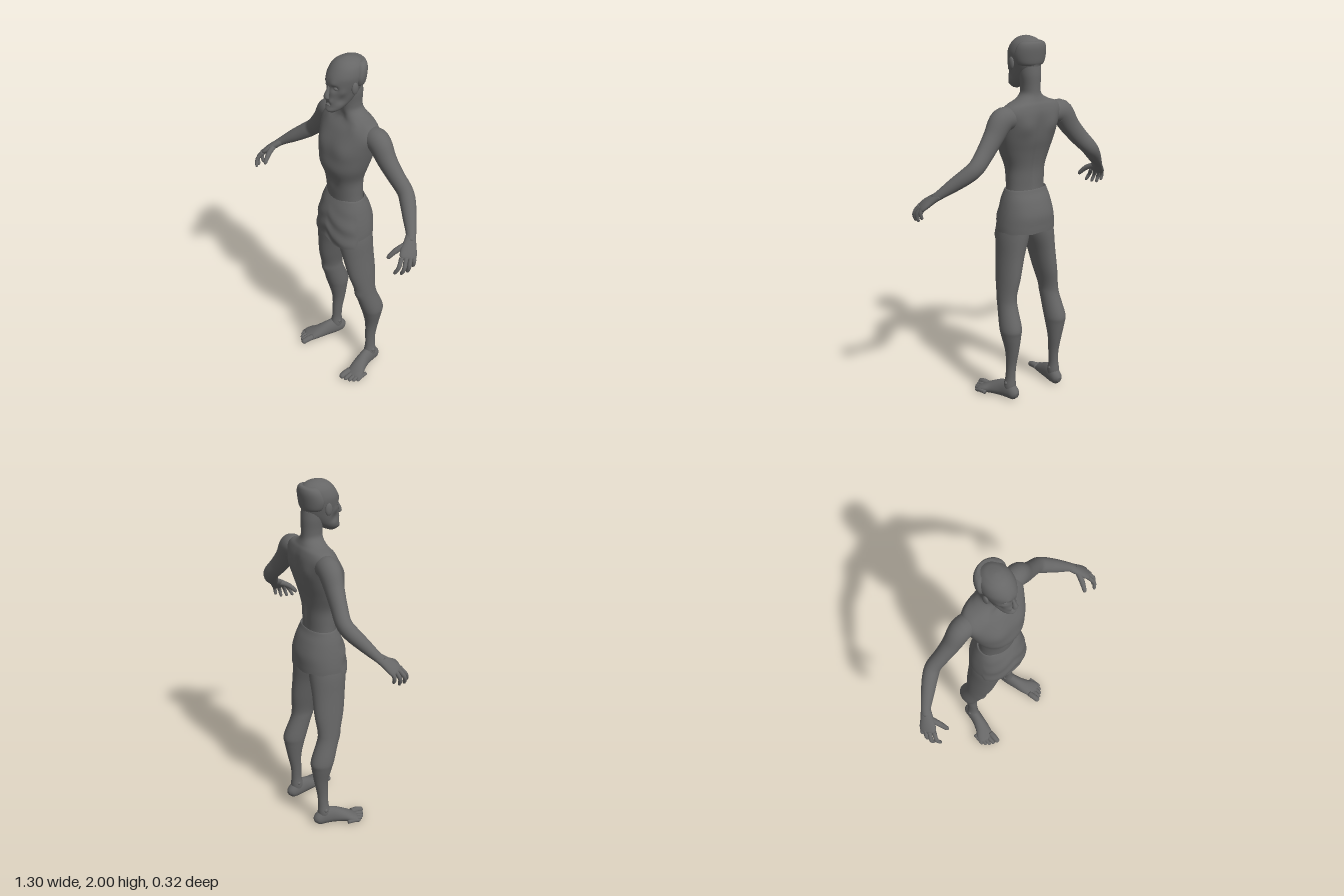
import * as THREE from 'three';

const clay = new THREE.MeshStandardMaterial({ color: 0x666666, side: THREE.DoubleSide });
clay.name = 'grey clay';

const V = (x, y, z) => new THREE.Vector3(x, y, z);
const catmull = (a, b, c, d, t) => {
  const m0 = (c - a) / 2, m1 = (d - b) / 2;
  return b + m0 * t + (3 * (c - b) - 2 * m0 - m1) * t * t + (2 * (b - c) + m0 + m1) * t * t * t;
};
const near = (p, x, y, z, r) => Math.exp(-((p.x - x) ** 2 + (p.y - y) ** 2 + (p.z - z) ** 2) / (r * r));

// Smooth skin over rows of [x, y, z, side radius, front radius, back radius].
// Without "side" the rings lie flat; with it they follow the path.
function loft(rows, { side, seg = 32, steps = 5, power = 2, caps = true, shape } = {}) {
  const rings = [];
  const last = rows.length - 1;
  for (let i = 0; i <= last * steps; i++) {
    const k = Math.min(Math.floor(i / steps), last - 1), t = i / steps - k;
    const [a, b, c, d] = [k - 1, k, k + 1, k + 2].map(n => rows[Math.max(0, Math.min(last, n))]);
    rings.push(b.map((_, n) => catmull(a[n], b[n], c[n], d[n], t)));
  }
  const pos = [], index = [], n = rings.length;
  rings.forEach((r, i) => {
    let T = V(0, 1, 0), u = V(1, 0, 0);
    if (side) {
      const p = rings[Math.max(0, i - 1)], q = rings[Math.min(n - 1, i + 1)];
      T = V(q[0] - p[0], q[1] - p[1], q[2] - p[2]).normalize();
      u = side.clone().addScaledVector(T, -side.dot(T)).normalize();
    }
    const v = u.clone().cross(T);
    for (let j = 0; j < seg; j++) {
      const a = j / seg * Math.PI * 2, c = Math.cos(a), s = Math.sin(a);
      const round = x => Math.sign(x) * Math.abs(x) ** (2 / power);
      const p = V(r[0], r[1], r[2]).addScaledVector(u, round(c) * r[3])
        .addScaledVector(v, round(s) * (s > 0 ? r[4] : r[5]));
      if (shape) shape(p, a);
      pos.push(p.x, p.y, p.z);
    }
  });
  for (let i = 0; i < n - 1; i++) for (let j = 0; j < seg; j++) {
    const a = i * seg + j, b = i * seg + (j + 1) % seg;
    index.push(a, a + seg, b, b, a + seg, b + seg);
  }
  if (caps) {
    const s = n * seg, o = (n - 1) * seg;
    pos.push(...rings[0].slice(0, 3), ...rings[n - 1].slice(0, 3));
    for (let j = 0; j < seg; j++) {
      const k = (j + 1) % seg;
      index.push(s, j, k, s + 1, o + k, o + j);
    }
  }
  const g = new THREE.BufferGeometry();
  g.setAttribute('position', new THREE.Float32BufferAttribute(pos, 3));
  g.setIndex(index);
  g.computeVertexNormals();
  return g;
}

// Finger or toe with a rounded tip
function digit(points, r0, r1, side) {
  const curve = new THREE.CatmullRomCurve3(points.map(p => V(...p)));
  const rows = [0, 0.2, 0.4, 0.6, 0.8, 0.92, 0.98, 1].map((t, i) => {
    const r = (r0 + (r1 - r0) * t) * [1, 1, 1.05, 1, 1, 0.85, 0.5, 0.15][i];
    return [...curve.getPoint(t).toArray(), r, r, r];
  });
  return loft(rows, { side, seg: 12, steps: 2 });
}

function ball(x, y, z, sx, sy, sz) {
  return new THREE.SphereGeometry(1, 20, 14).scale(sx, sy, sz).translate(x, y, z);
}

function mirrored(g) {
  const m = g.clone().scale(-1, 1, 1), ix = m.index;
  for (let i = 0; i < ix.count; i += 3) {
    const t = ix.getX(i);
    ix.setX(i, ix.getX(i + 1));
    ix.setX(i + 1, t);
  }
  m.computeVertexNormals();
  return m;
}

export function createModel() {
  const model = new THREE.Group();
  model.name = 'standing man';
  const add = (name, g) => {
    const m = new THREE.Mesh(g, clay);
    m.name = name;
    model.add(m);
  };
  const pair = (name, g) => { add('left ' + name, g); add('right ' + name, mirrored(g)); };

  // Torso and neck, with chest, ribs, shoulder blades and spine groove
  add('torso', loft([
    [0, 0.95, -0.02, 0.06, 0.05, 0.06], [0, 1.0, -0.02, 0.125, 0.1, 0.11],
    [0, 1.08, -0.02, 0.128, 0.09, 0.1], [0, 1.16, -0.02, 0.114, 0.083, 0.08],
    [0, 1.24, -0.02, 0.112, 0.09, 0.08], [0, 1.31, -0.02, 0.117, 0.104, 0.085],
    [0, 1.39, -0.02, 0.146, 0.126, 0.102], [0, 1.46, -0.03, 0.166, 0.126, 0.112],
    [0, 1.53, -0.04, 0.183, 0.118, 0.112], [0, 1.6, -0.06, 0.198, 0.102, 0.095],
    [0, 1.645, -0.07, 0.165, 0.078, 0.075], [0, 1.67, -0.07, 0.1, 0.07, 0.062],
    [0, 1.7, -0.065, 0.056, 0.06, 0.056], [0, 1.74, -0.063, 0.05, 0.058, 0.056],
    [0, 1.8, -0.06, 0.056, 0.06, 0.06], [0, 1.85, -0.055, 0.056, 0.06, 0.06],
  ], {
    seg: 56, power: 2.1, shape: p => {
      const x = Math.abs(p.x), q = { x, y: p.y, z: p.z };
      if (p.z > -0.02) {
        p.z += 0.01 * near(q, 0.08, 1.5, 0.06, 0.055) - 0.014 * near(q, 0, 1.3, 0.08, 0.05);
        p.z += 0.008 * near(q, 0.1, 1.635, 0, 0.03) - 0.008 * near(q, 0, 1.665, 0, 0.025);
      } else {
        const span = Math.exp(-(((p.y - 1.4) / 0.2) ** 4));
        p.z += 0.013 * span * Math.exp(-((x / 0.02) ** 2)) - 0.013 * near(q, 0.09, 1.54, -0.13, 0.05);
      }
    },
  }));

  // Head, carved with eye sockets, cheeks, mouth and pointed beard
  add('head', loft([
    [0, 1.717, 0.06, 0.012, 0.018, 0.02], [0, 1.735, 0.05, 0.035, 0.05, 0.05],
    [0, 1.76, 0.03, 0.05, 0.064, 0.07], [0, 1.79, 0.01, 0.06, 0.08, 0.085],
    [0, 1.83, -0.01, 0.069, 0.098, 0.1], [0, 1.88, -0.02, 0.081, 0.108, 0.102],
    [0, 1.92, -0.02, 0.084, 0.1, 0.106], [0, 1.96, -0.025, 0.073, 0.08, 0.094],
    [0, 1.985, -0.027, 0.049, 0.054, 0.064], [0, 1.996, -0.028, 0.023, 0.026, 0.03],
    [0, 2.0, -0.028, 0.004, 0.004, 0.004],
  ], {
    seg: 64, steps: 8, shape: p => {
      const q = { x: Math.abs(p.x), y: p.y, z: p.z };
      p.z += 0.005 * near(q, 0.03, 1.888, 0.08, 0.02) - 0.016 * near(q, 0.033, 1.863, 0.08, 0.017);
      p.z += 0.006 * near(q, 0.018, 1.79, 0.09, 0.014) - 0.009 * near(q, 0, 1.773, 0.09, 0.011);
      p.x -= Math.sign(p.x) * 0.009 * near(q, 0.055, 1.795, 0.045, 0.025);
      p.x += Math.sign(p.x) * 0.005 * near(q, 0.06, 1.84, 0.05, 0.02);
    },
  }));
  add('hair fringe', loft([
    [0, 1.848, -0.06, 0.06, 0.03, 0.05], [0, 1.862, -0.055, 0.083, 0.03, 0.066],
    [0, 1.9, -0.052, 0.094, 0.035, 0.076], [0, 1.94, -0.062, 0.09, 0.035, 0.07],
    [0, 1.965, -0.07, 0.076, 0.03, 0.058], [0, 1.975, -0.075, 0.055, 0.02, 0.045],
  ], { seg: 40 }));
  add('nose', loft([
    [0, 1.885, 0.076, 0.007, 0.008, 0.008], [0, 1.85, 0.09, 0.009, 0.011, 0.011],
    [0, 1.825, 0.1, 0.014, 0.013, 0.012], [0, 1.81, 0.1, 0.016, 0.013, 0.012],
    [0, 1.802, 0.093, 0.009, 0.008, 0.008],
  ], { seg: 20 }));
  add('lower lip', ball(0, 1.766, 0.089, 0.017, 0.005, 0.008));
  pair('eye', ball(0.032, 1.863, 0.065, 0.013, 0.01, 0.012));
  pair('ear', ball(0.087, 1.86, -0.03, 0.01, 0.033, 0.02).rotateX(0.01));

  // Arms
  pair('arm', loft([
    [0.13, 1.58, -0.07, 0.055, 0.055, 0.055], [0.2, 1.58, -0.075, 0.06, 0.066, 0.066],
    [0.262, 1.5, -0.08, 0.05, 0.056, 0.056], [0.322, 1.43, -0.09, 0.043, 0.05, 0.05],
    [0.385, 1.367, -0.1, 0.041, 0.045, 0.045], [0.43, 1.328, -0.083, 0.041, 0.043, 0.043],
    [0.49, 1.28, -0.045, 0.035, 0.036, 0.036], [0.545, 1.235, -0.008, 0.027, 0.025, 0.025],
    [0.572, 1.21, 0.017, 0.025, 0.02, 0.02],
  ], { side: V(0, 0, 1) }));

  // Hands
  const across = V(-0.25, 0, 1);
  pair('palm', loft([
    [0.55, 1.23, -0.005, 0.026, 0.02, 0.02], [0.575, 1.205, 0.025, 0.034, 0.021, 0.021],
    [0.598, 1.18, 0.052, 0.044, 0.02, 0.02], [0.615, 1.16, 0.07, 0.043, 0.016, 0.016],
    [0.62, 1.153, 0.075, 0.025, 0.008, 0.008],
  ], { side: across, seg: 24 }));
  [
    ['index finger', [0.6, 1.165, 0.1], [0.615, 1.125, 0.13], [0.6, 1.085, 0.148]],
    ['middle finger', [0.615, 1.165, 0.083], [0.634, 1.12, 0.11], [0.618, 1.078, 0.118]],
    ['ring finger', [0.622, 1.165, 0.06], [0.638, 1.12, 0.08], [0.625, 1.08, 0.083]],
    ['little finger', [0.618, 1.17, 0.038], [0.636, 1.135, 0.047], [0.627, 1.1, 0.048]],
  ].forEach(([name, ...pts]) => pair(name, digit(pts, 0.012, 0.009, across)));
  pair('thumb', digit([[0.573, 1.205, 0.035], [0.555, 1.185, 0.085], [0.54, 1.155, 0.12], [0.533, 1.135, 0.135]],
    0.017, 0.01, across));

  // Legs, with kneecap bump
  pair('leg', loft([
    [0.08, 1.02, -0.02, 0.07, 0.09, 0.1], [0.088, 0.93, -0.02, 0.08, 0.105, 0.105],
    [0.11, 0.82, -0.025, 0.066, 0.097, 0.096], [0.131, 0.7, -0.035, 0.056, 0.088, 0.085],
    [0.148, 0.6, -0.043, 0.048, 0.068, 0.067], [0.152, 0.54, -0.055, 0.05, 0.066, 0.062],
    [0.159, 0.43, -0.085, 0.058, 0.064, 0.073], [0.159, 0.38, -0.09, 0.053, 0.053, 0.065],
    [0.155, 0.29, -0.094, 0.037, 0.037, 0.045], [0.155, 0.2, -0.088, 0.027, 0.032, 0.032],
    [0.158, 0.13, -0.087, 0.026, 0.033, 0.028], [0.16, 0.08, -0.083, 0.033, 0.038, 0.035],
    [0.16, 0.04, -0.08, 0.03, 0.035, 0.035],
  ], { shape: p => { p.z += 0.008 * near(p, 0.15, 0.56, 0.01, 0.03); } }));
  pair('ankle bones', ball(0.16, 0.095, -0.083, 0.037, 0.018, 0.018));

  // Feet turned slightly outward
  const out = V(-1, 0, 0);
  pair('foot', loft([
    [0.155, 0.03, -0.141, 0.012, 0.014, 0.014], [0.157, 0.035, -0.122, 0.03, 0.035, 0.035],
    [0.161, 0.04, -0.08, 0.035, 0.06, 0.042], [0.172, 0.04, -0.03, 0.036, 0.055, 0.042],
    [0.192, 0.032, 0.03, 0.043, 0.037, 0.034], [0.212, 0.024, 0.07, 0.05, 0.024, 0.026],
    [0.221, 0.018, 0.098, 0.046, 0.015, 0.02], [0.224, 0.016, 0.106, 0.03, 0.006, 0.008],
  ], { side: out, shape: p => { p.y = Math.max(p.y, 0); } }));
  [
    [0.18, 0.187, 0.163, 0.018], [0.207, 0.211, 0.151, 0.013], [0.226, 0.233, 0.138, 0.012],
    [0.241, 0.25, 0.121, 0.012], [0.253, 0.264, 0.1, 0.011],
  ].forEach(([x0, x1, z, r], i) => pair('toe ' + (i + 1),
    digit([[x0, r + 0.008, z - 0.075], [(x0 + x1) / 2, r + 0.008, z - 0.035], [x1, r, z]], r, r * 0.9, out)));

  // Wrapped loincloth: overlapping front flap, side slits, soft folds and uneven hem
  const smooth = THREE.MathUtils.smoothstep;
  add('loincloth', loft([
    [0, 1.175, -0.02, 0.113, 0.07, 0.078], [0, 1.187, -0.02, 0.121, 0.077, 0.084],
    [0, 1.165, -0.02, 0.13, 0.09, 0.094], [0, 1.12, -0.02, 0.143, 0.112, 0.116],
    [0, 1.05, -0.02, 0.157, 0.131, 0.137], [0, 0.99, -0.02, 0.165, 0.133, 0.138],
    [0, 0.955, -0.02, 0.167, 0.132, 0.137],
  ], {
    seg: 96, caps: false, power: 2.2, shape: (p, a) => {
      const front = smooth(Math.sin(a), 0.27, 0.36);
      const drop = Math.max(0, 1.16 - p.y) / 0.205;
      const flap = p.x > 0 ? 0.04 * smooth(p.x, 0, 0.06) : 0.022 * smooth(-p.x, 0, 0.1);
      const fold = front * 0.004 * Math.sin(p.y * 75 + Math.abs(p.x) * 30) * Math.min(1, drop * 2);
      const k = 1 + front * 0.035 * drop;
      p.x *= k;
      p.z = -0.02 + (p.z + 0.02) * k + fold;
      p.y -= drop * (front * (flap + 0.008) + 0.003 * Math.sin(a * 9));
    },
  }));

  return model;
}
